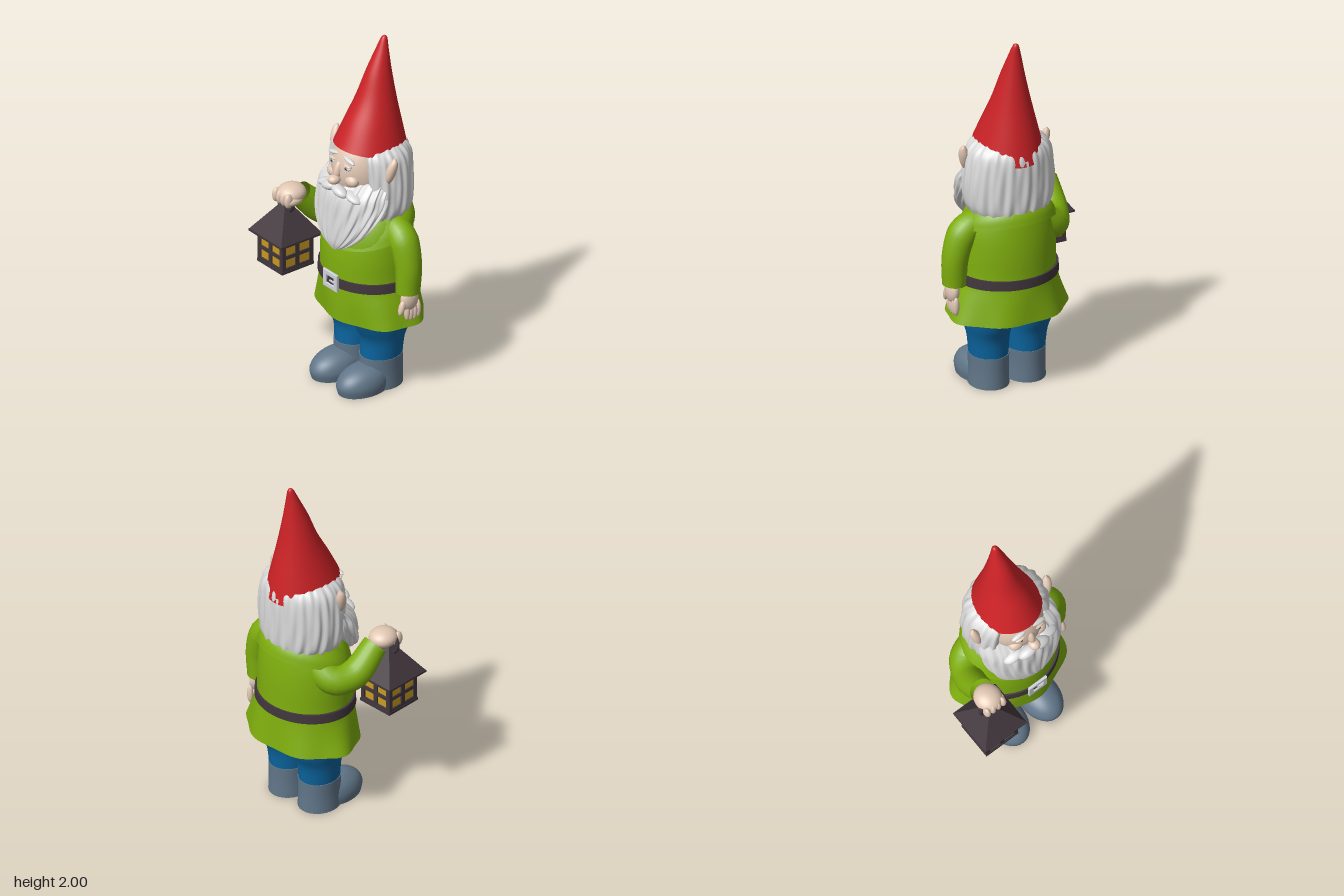
import * as THREE from 'three';
import { toCreasedNormals } from 'three/addons/utils/BufferGeometryUtils.js';

const CX = 0.05; // body centre line

export function createModel() {
  const model = new THREE.Group();
  model.name = 'gardenGnome';
  const mat = (name, color, extra = {}) => {
    const m = new THREE.MeshStandardMaterial({ color, ...extra });
    m.name = name;
    return m;
  };
  const red = mat('hatRed', 0xcc2226);
  const green = mat('tunicGreen', 0x7fae0e, { side: THREE.DoubleSide });
  const blue = mat('trouserBlue', 0x0b659f);
  const grey = mat('bootGrey', 0x62778a);
  const dark = mat('darkMetal', 0x41373d);
  const skin = mat('skin', 0xe2c8b4);
  const white = mat('hairWhite', 0xdadada);
  const yellow = mat('lampYellow', 0xc99a20);
  const silver = mat('buckleSilver', 0xd0d4dc);
  const iris = mat('eyeBlue', 0x6f93ad);

  const add = (name, geo, material, parent = model) => {
    const m = new THREE.Mesh(geo, material);
    m.name = name;
    parent.add(m);
    return m;
  };

  // Smooth loft through sections [y, cx, cz, rx, rz, tilt], listed bottom to top
  const loft = (sections, { seg = 40, sub = 4, mod = () => 1, caps = true } = {}) => {
    const curve = (k) => new THREE.CatmullRomCurve3(
      sections.map((s) => new THREE.Vector3(s[k], s[k + 1], s[k + 2] || 0)), false, 'catmullrom');
    const mid = curve(0), rad = curve(3), rows = (sections.length - 1) * sub;
    const pos = [], idx = [];
    for (let i = 0; i <= rows; i++) {
      const c = mid.getPoint(i / rows), r = rad.getPoint(i / rows);
      for (let j = 0; j < seg; j++) {
        const t = (j / seg) * Math.PI * 2, k = mod(t, c.x);
        pos.push(c.y + Math.max(r.x, 0.001) * k * Math.sin(t), c.x + r.z * Math.cos(t),
          c.z + Math.max(r.y, 0.001) * k * Math.cos(t));
        if (i < rows) {
          const a = i * seg + j, b = i * seg + ((j + 1) % seg);
          idx.push(a, b, b + seg, a, b + seg, a + seg);
        }
      }
    }
    if (caps) for (const row of [0, rows]) {
      const base = pos.length / 3, c = mid.getPoint(row / rows);
      pos.push(...pos.slice(row * seg * 3, (row + 1) * seg * 3), c.y, c.x, c.z);
      for (let j = 0; j < seg; j++) {
        const a = base + j, b = base + ((j + 1) % seg);
        idx.push(base + seg, ...(row ? [a, b] : [b, a]));
      }
    }
    const g = new THREE.BufferGeometry();
    g.setAttribute('position', new THREE.Float32BufferAttribute(pos, 3));
    g.setIndex(idx);
    g.computeVertexNormals();
    return g;
  };

  // Ellipsoid
  const blob = (name, material, p, s, rz = 0, rx = 0) => {
    const m = add(name, new THREE.SphereGeometry(1, 28, 20), material);
    m.position.set(...p);
    m.scale.set(...s);
    m.rotation.set(rx, 0, rz);
    return m;
  };

  // Tube whose radius varies along its path
  const limb = (name, points, radii, material) => {
    const n = 24, sides = 20;
    const curve = new THREE.CatmullRomCurve3(points.map((p) => new THREE.Vector3(...p)));
    const g = new THREE.TubeGeometry(curve, n, 1, sides);
    const pa = g.attributes.position, v = new THREE.Vector3();
    for (let i = 0; i <= n; i++) {
      const c = curve.getPointAt(i / n), f = (i / n) * (radii.length - 1);
      const k = Math.min(Math.floor(f), radii.length - 2);
      const r = THREE.MathUtils.lerp(radii[k], radii[k + 1], f - k);
      for (let j = 0; j <= sides; j++) {
        const q = i * (sides + 1) + j;
        v.fromBufferAttribute(pa, q).sub(c).multiplyScalar(r).add(c);
        pa.setXYZ(q, v.x, v.y, v.z);
      }
    }
    g.computeVertexNormals();
    return add(name, g, material);
  };

  // Tunic with a folded, flared hem and a collar
  const folds = (t, y) => 1 + 0.03 * Math.max(0, (0.6 - y) / 0.18) * Math.sin(7 * t + 1);
  add('tunic', loft([
    [0.42, 0.055, -0.09, 0.338, 0.25], [0.54, 0.055, -0.08, 0.3, 0.246],
    [0.65, CX, -0.075, 0.272, 0.24], [0.8, CX, -0.075, 0.268, 0.237],
    [0.93, CX, -0.08, 0.255, 0.22], [1.03, CX, -0.09, 0.205, 0.185], [1.1, CX, -0.09, 0.1, 0.1],
  ], { seg: 64, mod: folds, caps: false }), green);
  add('collar', loft([
    [0.92, CX, -0.078, 0.27, 0.238, -0.07], [0.98, CX, -0.085, 0.25, 0.217, -0.06],
    [1.05, CX, -0.09, 0.2, 0.18, -0.04],
  ], { caps: false, mod: (t) => 1 + 0.01 * Math.cos(4 * t) }), green);

  // Belt and buckle
  add('belt', toCreasedNormals(loft([
    [0.622, CX, -0.075, 0.286, 0.25], [0.675, CX, -0.075, 0.283, 0.248],
  ], { seg: 64, sub: 1 }), 0.7), dark);
  const frame = new THREE.Shape([[-0.057, -0.047], [0.057, -0.047], [0.057, 0.047], [-0.057, 0.047]]
    .map((p) => new THREE.Vector2(...p)));
  frame.holes.push(new THREE.Path([[-0.036, -0.026], [-0.036, 0.026], [0.036, 0.026], [0.036, -0.026]]
    .map((p) => new THREE.Vector2(...p))));
  add('buckle', new THREE.ExtrudeGeometry(frame, {
    depth: 0.01, bevelSize: 0.003, bevelThickness: 0.003, bevelSegments: 2 }), silver).position.set(0.053, 0.648, 0.17);
  add('bucklePin', new THREE.BoxGeometry(0.05, 0.008, 0.008), silver).position.set(0.075, 0.648, 0.18);

  // Trouser legs and boots
  for (const s of [-1, 1]) {
    const x = (d) => CX + s * d;
    add('trouserLeg', loft([
      [0.165, x(0.108), -0.08, 0.103, 0.117], [0.28, x(0.112), -0.085, 0.112, 0.125],
      [0.36, x(0.118), -0.085, 0.125, 0.16], [0.44, x(0.12), -0.08, 0.135, 0.188],
      [0.52, x(0.12), -0.08, 0.13, 0.18],
    ]), blue);
    add('bootShaft', loft([
      [0, x(0.108), -0.08, 0.108, 0.122], [0.09, x(0.108), -0.08, 0.105, 0.12],
      [0.18, x(0.108), -0.08, 0.108, 0.122],
    ]), grey);
    add('bootToe', loft([
      [0, x(0.113), 0.045, 0.104, 0.15], [0.05, x(0.113), 0.045, 0.109, 0.16],
      [0.1, x(0.113), 0.035, 0.093, 0.14], [0.135, x(0.113), 0.02, 0.055, 0.09],
      [0.145, x(0.113), 0.01, 0.01, 0.02],
    ]), grey);
  }

  // Sleeves: one arm hangs, the other is bent forward
  limb('leftSleeve', [[0.2, 0.97, -0.1], [0.305, 0.93, -0.1], [0.362, 0.79, -0.1], [0.367, 0.625, -0.095]],
    [0.07, 0.082, 0.072, 0.066], green);
  limb('rightSleeve', [[-0.09, 0.95, -0.15], [-0.2, 0.87, -0.12], [-0.255, 0.88, -0.02], [-0.275, 1.01, 0.12]],
    [0.08, 0.085, 0.08, 0.068], green);

  // Hands
  blob('leftPalm', skin, [0.38, 0.585, -0.095], [0.034, 0.065, 0.055]);
  blob('leftThumb', skin, [0.385, 0.55, -0.04], [0.018, 0.045, 0.018], 0, -0.3);
  blob('rightFist', skin, [-0.28, 1.035, 0.175], [0.075, 0.052, 0.08]);
  blob('rightThumb', skin, [-0.222, 1.01, 0.2], [0.02, 0.022, 0.05]);
  for (let i = 0; i < 4; i++) {
    blob('leftFinger', skin, [0.383, 0.515 - 0.008 * Math.sin(i), -0.075 - i * 0.025], [0.018, 0.052, 0.015]);
    blob('rightFinger', skin, [-0.332 + i * 0.034, 1.02, 0.235], [0.019, 0.042, 0.026]);
  }

  // Head and face
  blob('head', skin, [CX, 1.28, -0.06], [0.17, 0.22, 0.19]);
  blob('noseBridge', skin, [CX, 1.295, 0.122], [0.022, 0.055, 0.026], 0, -0.25);
  blob('noseTip', skin, [CX, 1.247, 0.15], [0.032, 0.026, 0.036]);
  for (const s of [-1, 1]) {
    const x = (d) => CX + s * d;
    blob('cheek', skin, [x(0.075), 1.25, 0.09], [0.045, 0.035, 0.035]);
    blob('eyeWhite', white, [x(0.06), 1.325, 0.108], [0.026, 0.014, 0.013]);
    blob('iris', iris, [x(0.06), 1.325, 0.117], [0.011, 0.011, 0.006]);
    blob('pupil', dark, [x(0.06), 1.325, 0.121], [0.006, 0.006, 0.004]);
    blob('upperLid', skin, [x(0.06), 1.34, 0.108], [0.032, 0.008, 0.016], -s * 0.1);
    blob('eyebrow', white, [x(0.065), 1.37, 0.1], [0.045, 0.012, 0.016], -s * 0.2);
    blob('moustacheInner', white, [x(0.042), 1.195, 0.148], [0.058, 0.026, 0.034], -s * 0.25);
    blob('moustacheTip', white, [x(0.115), 1.175, 0.11], [0.06, 0.022, 0.04], -s * 0.3);
    add('ear', loft([
      [1.255, x(0.225), -0.035, 0.008, 0.01], [1.29, x(0.232), -0.04, 0.02, 0.025],
      [1.34, x(0.238), -0.05, 0.027, 0.03], [1.38, x(0.245), -0.058, 0.02, 0.02],
      [1.403, x(0.245), -0.065, 0.005, 0.006],
    ], { seg: 20 }), skin);
  }

  // Hair, pulled in behind the face, with rippled locks
  const locks = (t, y) => 1 + 0.018 * Math.sin(19 * t + 2.5 * Math.sin(9 * y)) + 0.012 * Math.sin(31 * t - 8 * y);
  const hairMod = (t, y) => locks(t, y) *
    THREE.MathUtils.lerp(0.72, 1, THREE.MathUtils.smoothstep(Math.min(t, Math.PI * 2 - t), 0.6, 0.85));
  add('hair', loft([
    [1.02, CX, -0.1, 0.215, 0.19], [1.08, CX, -0.1, 0.242, 0.2], [1.2, CX, -0.1, 0.25, 0.203],
    [1.33, CX, -0.098, 0.235, 0.203], [1.39, CX, -0.095, 0.21, 0.19], [1.43, CX, -0.095, 0.16, 0.15],
  ], { seg: 160, mod: hairMod }), white);
  add('beard', loft([
    [0.845, 0.065, 0.15, 0.035, 0.022], [0.885, 0.055, 0.138, 0.11, 0.045], [0.95, CX, 0.11, 0.18, 0.072],
    [1.03, CX, 0.07, 0.222, 0.105], [1.12, CX, 0.02, 0.24, 0.145], [1.18, CX, 0, 0.235, 0.14],
    [1.24, CX, -0.045, 0.215, 0.12],
  ], { seg: 160, mod: (t, y) => 1 + 1.6 * (locks(t, y) - 1) }), white);

  // Pointed hat leaning back
  add('hat', loft([
    [1.37, CX, -0.097, 0.187, 0.207, 0.046], [1.5, CX, -0.112, 0.148, 0.165, 0.03],
    [1.65, CX, -0.133, 0.105, 0.112, 0.015], [1.8, CX, -0.15, 0.066, 0.072, 0.005],
    [1.92, CX, -0.172, 0.036, 0.036, 0], [1.985, CX, -0.186, 0.017, 0.018, 0], [2, CX, -0.188, 0.005, 0.005, 0],
  ], { seg: 56 }), red);

  // Lantern: glowing core, barred sides, hipped roof and carrying ring
  const lantern = new THREE.Group();
  lantern.name = 'lantern';
  lantern.position.set(-0.29, 0, 0.208);
  model.add(lantern);
  const box = (name, s, p, material, parent = lantern) =>
    add(name, new THREE.BoxGeometry(...s), material, parent).position.set(...p);
  box('lampCore', [0.192, 0.17, 0.192], [0, 0.715, 0], yellow);
  box('lampFloor', [0.215, 0.016, 0.215], [0, 0.628, 0], dark);
  for (let i = 0; i < 4; i++) {
    const side = new THREE.Group();
    side.name = 'lampSide';
    side.rotation.y = i * Math.PI / 2;
    lantern.add(side);
    for (const x of [-0.093, 0, 0.093]) box('lampPost', [0.024, 0.18, 0.014], [x, 0.715, 0.098], dark, side);
    for (const y of [0.64, 0.712, 0.792]) box('lampRail', [0.2, y > 0.75 ? 0.03 : 0.02, 0.013], [0, y, 0.098], dark, side);
  }
  box('lampEave', [0.278, 0.012, 0.278], [0, 0.803, 0], dark);
  const roof = add('lampRoof', toCreasedNormals(new THREE.CylinderGeometry(0.02, 0.194, 0.175, 4), 0.5), dark, lantern);
  roof.rotation.y = Math.PI / 4;
  roof.position.y = 0.896;
  add('lampRing', new THREE.TorusGeometry(0.062, 0.012, 12, 36), dark, lantern).position.y = 0.995;

  return model;
}
